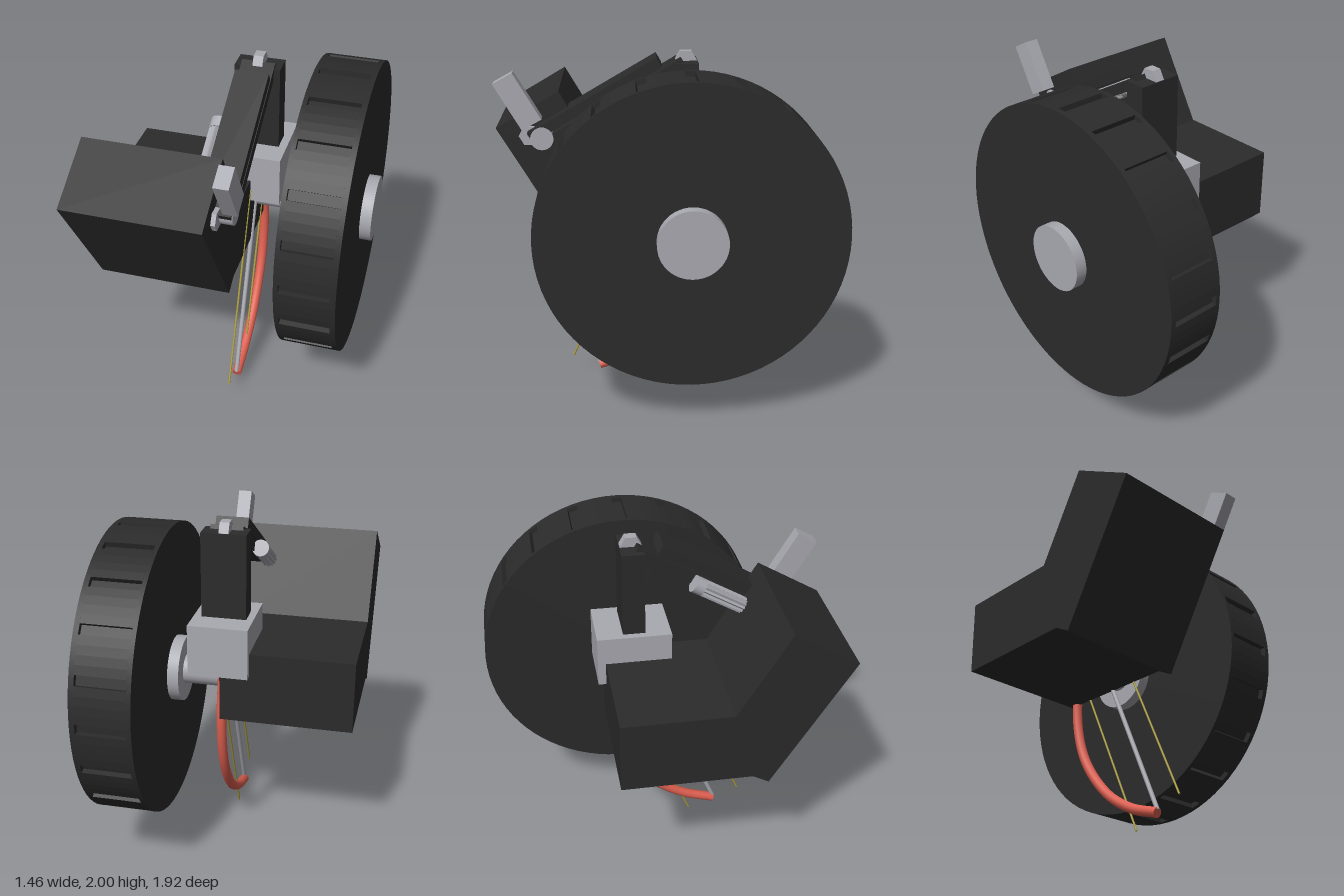
import * as THREE from 'three';

const paint = (name, color) => {
  const m = new THREE.MeshStandardMaterial({ color });
  m.name = name;
  return m;
};

export function createModel() {
  const model = new THREE.Group();
  const black = paint('black plastic', 0x2b2b2b);
  const grey = paint('grey metal', 0xa9a9b1);
  const red = paint('red hose', 0xdd5f50);
  const yellow = paint('yellow wire', 0xa89a3c);

  const add = (name, geometry, material) => {
    const mesh = new THREE.Mesh(geometry, material);
    mesh.name = name;
    model.add(mesh);
    return mesh;
  };
  // box from its low and high limits on each axis
  const box = (name, [x0, x1], [y0, y1], [z0, z1], material) =>
    add(name, new THREE.BoxGeometry(x1 - x0, y1 - y0, z1 - z0)
      .translate((x0 + x1) / 2, (y0 + y1) / 2, (z0 + z1) / 2), material);
  // cylinder lying along x
  const disc = (name, r, x0, x1, y, z, material, sides = 48) =>
    add(name, new THREE.CylinderGeometry(r, r, x1 - x0, sides)
      .rotateZ(Math.PI / 2).translate((x0 + x1) / 2, y, z), material);
  // side profile of [z, y] points, given width along x
  const slab = (name, points, x0, x1, material) => {
    const shape = new THREE.Shape(points.map(p => new THREE.Vector2(...p)));
    const g = new THREE.ExtrudeGeometry(shape, { depth: x1 - x0, bevelEnabled: false });
    return add(name, g.rotateY(-Math.PI / 2).translate(x1, 0, 0), material);
  };
  // hexagonal nut with its axis along x and corners pointing fore and aft
  const nut = (name, r, x0, x1, y, z) => {
    const points = [];
    for (let i = 0; i < 6; i++) {
      const a = i * Math.PI / 3;
      points.push([z + r * Math.cos(a), y + r * Math.sin(a)]);
    }
    slab(name, points, x0, x1, grey);
  };
  // bar sloping 30 degrees down to the front from its top back corner
  const bar = (name, z, y, length, thick, x0, x1) => {
    const c = Math.cos(Math.PI / 6), s = 0.5;
    slab(name, [
      [z, y], [z - s * thick, y - c * thick],
      [z - s * thick + c * length, y - c * thick - s * length],
      [z + c * length, y - s * length],
    ], x0, x1, black);
  };

  // wheel: ring of tread recesses held between two plain rims
  const wy = 1.1, wz = -0.115, R = 0.845, step = Math.PI / 10, half = 0.035;
  const tread = [];
  for (let i = 0; i < 20; i++) {
    const a = i * step;
    for (const t of [-half, half])
      tread.push([wz + (R - 0.03) * Math.cos(a + t), wy + (R - 0.03) * Math.sin(a + t)]);
    for (let k = 0; k <= 4; k++) {
      const t = a + half + (step - 2 * half) * k / 4;
      tread.push([wz + R * Math.cos(t), wy + R * Math.sin(t)]);
    }
  }
  slab('wheelTread', tread, 0.355, 0.635, black);
  disc('wheelInnerRim', R, 0.33, 0.355, wy, wz, black, 80);
  disc('wheelOuterRim', R, 0.635, 0.665, wy, wz, black, 80);
  disc('wheelHub', 0.19, 0.265, 0.73, wy, wz, grey);
  disc('axle', 0.085, 0, 0.27, wy, wz, grey);

  // bent body
  slab('body', [
    [-0.285, 0.88], [0.44, 0.88], [0.53, 0.83], [0.96, 1.565],
    [0.6, 1.775], [0.325, 1.3], [-0.285, 1.3],
  ], -0.73, 0.03, black);

  // mounting block and mast
  box('mountBlock', [-0.14, 0.2], [1.165, 1.46], [-0.33, 0.09], grey);
  box('mast', [-0.1, 0.155], [1.45, 1.945], [-0.18, -0.055], black);

  // twin sloping arms with their pivots
  bar('upperArm', 0.05, 1.975, 0.84, 0.06, -0.065, 0.12);
  bar('lowerArm', -0.085, 1.968, 0.9, 0.06, -0.065, 0.12);
  nut('mastNut', 0.062, 0, 0.055, 1.946, -0.115);
  nut('armNut', 0.06, 0, 0.055, 1.525, 0.77);
  disc('armPivot', 0.065, 0.03, 0.125, 1.525, 0.695, grey, 32);

  // tilted lever
  slab('lever', [[0.8, 1.585], [0.95, 1.845], [0.84, 1.905], [0.69, 1.645]], 0.085, 0.165, grey);

  // fluted damper lying along the arms, with a plain cap at the back
  const damper = new THREE.Group();
  damper.name = 'damper';
  const flutes = new THREE.Shape();
  for (let i = 0; i < 24; i++) {
    const a = i * Math.PI / 12, r = i % 2 ? 0.038 : 0.048;
    flutes[i ? 'lineTo' : 'moveTo'](r * Math.cos(a), r * Math.sin(a));
  }
  const grip = add('damperGrip',
    new THREE.ExtrudeGeometry(flutes, { depth: 0.34, bevelEnabled: false }), grey);
  const cap = add('damperCap',
    new THREE.CylinderGeometry(0.049, 0.049, 0.06, 32).rotateX(Math.PI / 2).translate(0, 0, 0.02), grey);
  damper.add(grip, cap);
  damper.position.set(-0.1, 1.745, 0.22);
  damper.rotation.x = Math.PI / 6;
  model.add(damper);

  // hose and wires hanging under the body, as [z, y] paths
  const cable = (name, path, x, r, material, segments) => {
    const curve = new THREE.CatmullRomCurve3(path.map(([z, y]) => new THREE.Vector3(x, y, z)));
    add(name, new THREE.TubeGeometry(curve, segments, r, 12), material);
    // closed ends
    for (const [t, sign] of [[0, -1], [1, 1]]) {
      const end = add(name + 'End', new THREE.CircleGeometry(r, 12), material);
      end.position.copy(curve.getPoint(t));
      end.lookAt(end.position.clone().addScaledVector(curve.getTangent(t), sign));
    }
  };
  cable('hose', [[-0.2, 1.1], [-0.24, 0.85], [-0.18, 0.54], [0, 0.28], [0.2, 0.14], [0.4, 0.07]],
    0.03, 0.029, red, 40);
  cable('coreWire', [[-0.03, 1.12], [0.402, 0.085]], 0.03, 0.013, grey, 1);
  cable('frontWire', [[0.08, 1.25], [0.56, 0.135]], 0.03, 0.006, yellow, 1);
  cable('rearWire', [[-0.237, 1.15], [0.245, 0.003]], 0.03, 0.006, yellow, 1);

  return model;
}
